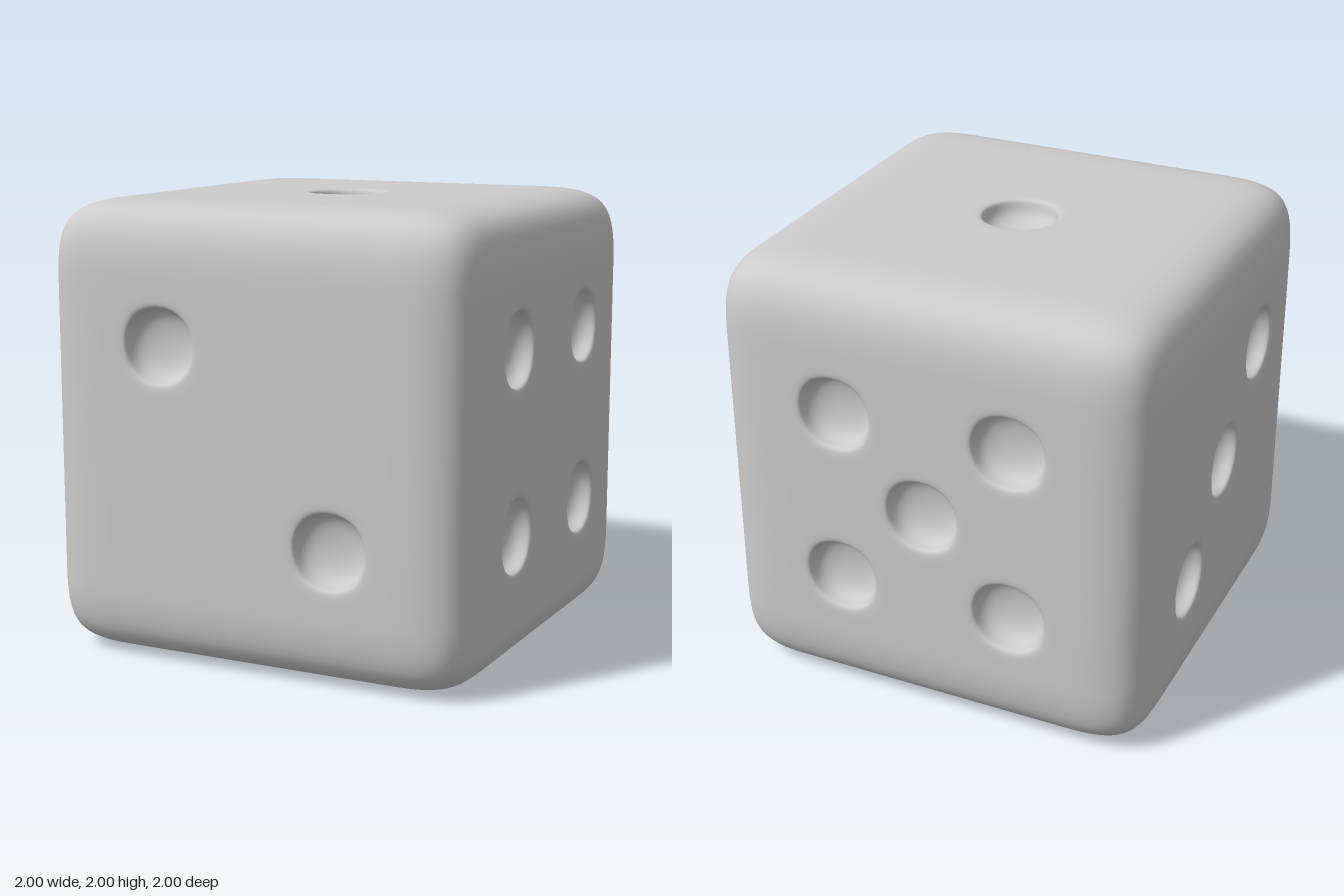
import * as THREE from 'three';

const CELLS = 5;             // cage cells along each side
const CELL = 2 / CELLS;
const RIM = 0.172;           // half width of the pip rim in the cage
const FLOOR = 0.165;         // half width of the pip floor in the cage
const DEPTH = 0.12;

const V = (x, y, z) => new THREE.Vector3(x, y, z);

// Each side: right and up axes seen from outside, and its pips as [right, up] cells
const SIDES = [
  { u: V(1, 0, 0), v: V(0, 0, -1), pips: [[0, 0]] },                                        // top: one
  { u: V(1, 0, 0), v: V(0, 1, 0), pips: [[-1, 1], [1, -1]] },                               // front: two
  { u: V(0, 0, 1), v: V(0, 1, 0), pips: [[1, 1], [0, 0], [-1, -1]] },                       // -x: three
  { u: V(0, 0, -1), v: V(0, 1, 0), pips: [[-1, 1], [1, 1], [-1, -1], [1, -1]] },            // +x: four
  { u: V(-1, 0, 0), v: V(0, 1, 0), pips: [[-1, 1], [1, 1], [0, 0], [-1, -1], [1, -1]] },    // back: five
  { u: V(1, 0, 0), v: V(0, 0, 1), pips: [[-1, 1], [0, 1], [1, 1], [-1, -1], [0, -1], [1, -1]] }, // bottom: six
];

// Cube cage of quads, with an inset rim and a sunken floor at every pip
function buildCage() {
  const points = [], quads = [], ids = new Map();
  const addPoint = (p) => {
    const key = p.toArray().map((c) => Math.round(c * 1e4)).join();
    if (!ids.has(key)) {
      ids.set(key, points.length);
      points.push(p);
    }
    return ids.get(key);
  };
  for (const { u, v, pips } of SIDES) {
    const n = u.clone().cross(v);
    const square = (a, b, half, depth) =>
      [[-1, -1], [1, -1], [1, 1], [-1, 1]].map(([s, t]) => addPoint(
        n.clone().multiplyScalar(1 - depth)
          .addScaledVector(u, a * CELL + s * half)
          .addScaledVector(v, b * CELL + t * half)));
    for (let a = -2; a <= 2; a++) {
      for (let b = -2; b <= 2; b++) {
        let ring = square(a, b, CELL / 2, 0);
        if (pips.some(([i, j]) => i === a && j === b)) {
          for (const next of [square(a, b, RIM, 0), square(a, b, FLOOR, DEPTH)]) {
            for (let k = 0; k < 4; k++) {
              const m = (k + 1) % 4;
              quads.push([ring[k], ring[m], next[m], next[k]]);
            }
            ring = next;
          }
        }
        quads.push(ring);
      }
    }
  }
  return { points, quads };
}

// One smoothing subdivision of a closed quad mesh
function subdivide({ points, quads }) {
  const out = [], edges = new Map();
  const around = points.map(() => ({ faces: V(0, 0, 0), mids: V(0, 0, 0), n: 0 }));
  const edgeKey = (a, b) => (a < b ? a * points.length + b : b * points.length + a);

  // Face centres
  const centres = quads.map((q) => {
    const c = V(0, 0, 0);
    q.forEach((i) => c.addScaledVector(points[i], 0.25));
    q.forEach((a, k) => {
      around[a].faces.add(c);
      const b = q[(k + 1) % 4], key = edgeKey(a, b);
      if (!edges.has(key)) edges.set(key, { a, b, sum: V(0, 0, 0) });
      edges.get(key).sum.add(c);
    });
    return c;
  });

  // Edge points
  for (const e of edges.values()) {
    const ends = points[e.a].clone().add(points[e.b]);
    for (const i of [e.a, e.b]) {
      around[i].mids.addScaledVector(ends, 0.5);
      around[i].n++;
    }
    e.id = points.length + out.length;
    out.push(ends.add(e.sum).multiplyScalar(0.25));
  }

  // Moved corners
  const moved = points.map((p, i) => {
    const { faces, mids, n } = around[i];
    return p.clone().multiplyScalar((n - 3) / n)
      .addScaledVector(faces, 1 / (n * n))
      .addScaledVector(mids, 2 / (n * n));
  });

  const firstCentre = points.length + out.length;
  const newQuads = [];
  quads.forEach((q, f) => q.forEach((a, k) => {
    const ahead = edges.get(edgeKey(a, q[(k + 1) % 4])).id;
    const behind = edges.get(edgeKey(a, q[(k + 3) % 4])).id;
    newQuads.push([a, ahead, firstCentre + f, behind]);
  }));
  return { points: [...moved, ...out, ...centres], quads: newQuads };
}

export function createModel() {
  let mesh = buildCage();
  for (let i = 0; i < 3; i++) mesh = subdivide(mesh);

  const geometry = new THREE.BufferGeometry().setFromPoints(mesh.points);
  geometry.setIndex(mesh.quads.flatMap(([a, b, c, d]) => [a, b, c, a, c, d]));
  geometry.computeVertexNormals();

  // Rounded cube with sunken pips, standing on the ground
  const body = new THREE.Mesh(geometry, new THREE.MeshStandardMaterial({ color: 0xcccccc }));
  body.name = 'dieBody';
  body.position.y = 1;

  const group = new THREE.Group();
  group.name = 'die';
  group.add(body);
  return group;
}
